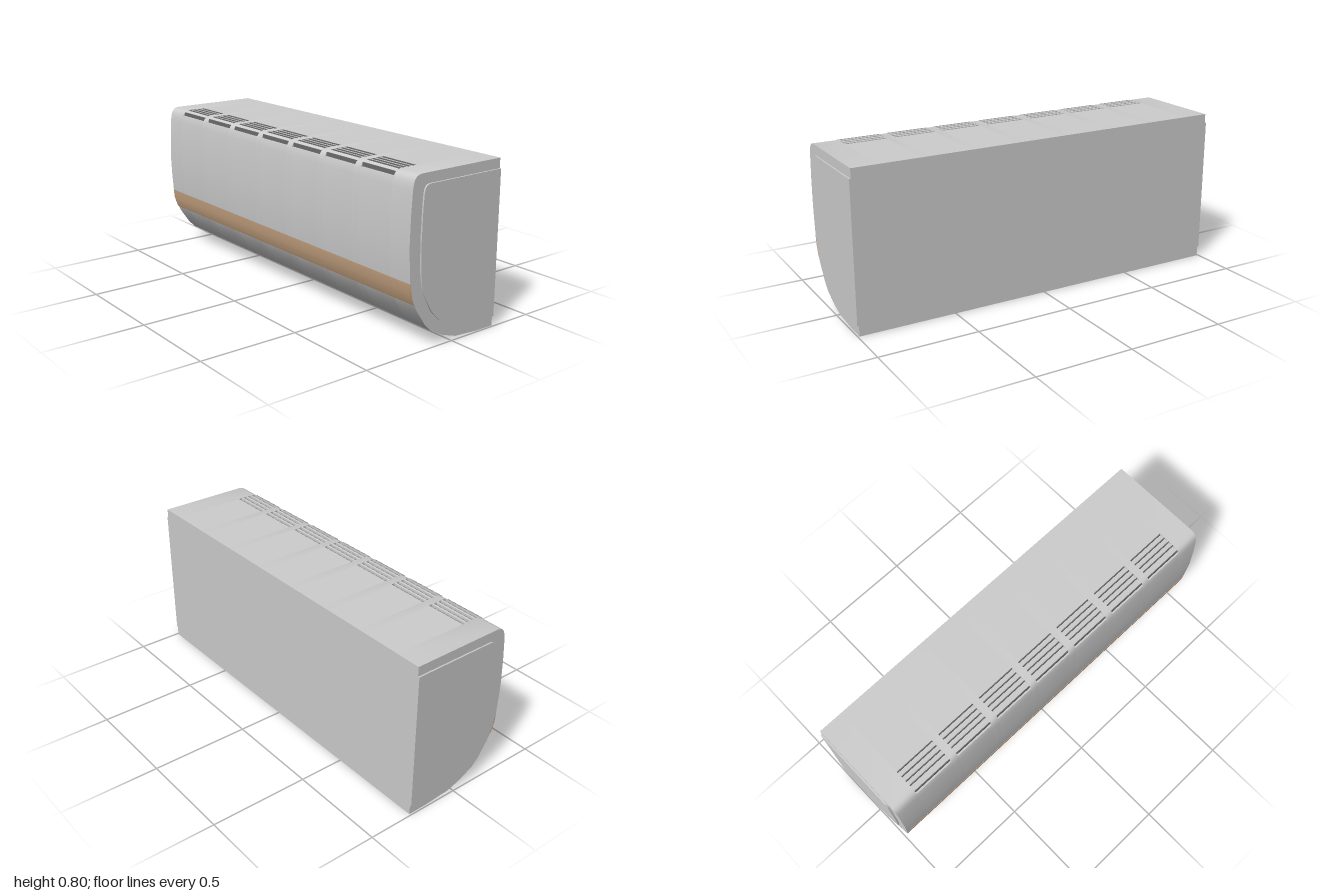
import * as THREE from 'three';
import { toCreasedNormals } from 'three/addons/utils/BufferGeometryUtils.js';

const grey = new THREE.MeshStandardMaterial({ color: 0xcccccc });
grey.name = 'casing grey';
const tan = new THREE.MeshStandardMaterial({ color: 0xc8a583 });
tan.name = 'stripe tan';
const dark = new THREE.MeshStandardMaterial({ color: 0x6c6c6c });
dark.name = 'vent dark grey';

// Side outlines as [z, y]
const lowerCurve = [
  [-0.27, 0], [-0.16, 0.002], [-0.03, 0.012], [0.05, 0.038], [0.125, 0.077], [0.16, 0.112],
  [0.21, 0.185], [0.233, 0.228], [0.249, 0.275], [0.256, 0.33], [0.262, 0.42], [0.265, 0.5],
  [0.262, 0.62], [0.255, 0.73],
];
const plainTop = [
  [0.251, 0.755], [0.246, 0.772], [0.239, 0.784], [0.229, 0.792], [0.21, 0.798], [-0.27, 0.798],
];
const panelOutline = [
  [-0.27, 0.05], [-0.16, 0.05], [-0.055, 0.058], [0.01, 0.08], [0.08, 0.118], [0.13, 0.168],
  [0.175, 0.25], [0.19, 0.29], [0.2, 0.36], [0.204, 0.5], [0.2, 0.64], [0.195, 0.71],
  [0.19, 0.732], [0.18, 0.745], [0.165, 0.75], [-0.27, 0.75],
];

// Top edge with the vent grooves cut into it
const grooves = [0.21, 0.183, 0.154, 0.125];
const grooveHalf = 0.009, grooveFloor = 0.786;
const ventTop = [[0.251, 0.755], [0.247, 0.769], [0.234, 0.769], [0.234, 0.789], [0.225, 0.794]];
for (const z of grooves) {
  ventTop.push([z + grooveHalf, 0.797], [z + grooveHalf, grooveFloor],
    [z - grooveHalf, grooveFloor], [z - grooveHalf, 0.798]);
}
ventTop.push([-0.27, 0.798]);

// Extrude a [z, y] outline along x
function extrudeAlongX(name, outline, x0, x1, material) {
  const shape = new THREE.Shape(outline.map(([z, y]) => new THREE.Vector2(-z, y)));
  const geometry = new THREE.ExtrudeGeometry(shape, { depth: x1 - x0, bevelEnabled: false });
  geometry.rotateY(Math.PI / 2);
  geometry.translate(x0, 0, 0);
  const mesh = new THREE.Mesh(toCreasedNormals(geometry, 0.45), material);
  mesh.name = name;
  return mesh;
}

export function createModel() {
  const model = new THREE.Group();
  model.name = 'wallUnit';
  const end = 0.992, ventWidth = 0.212, ventPitch = 0.253, ventStart = -0.865;

  // Casing: plain and grooved lengths alternate
  const casing = new THREE.Group();
  casing.name = 'casing';
  const vents = new THREE.Group();
  vents.name = 'vents';
  let x = -end;
  for (let i = 0; i < 7; i++) {
    const x0 = ventStart + i * ventPitch, x1 = x0 + ventWidth;
    casing.add(extrudeAlongX('casingPlain', [...lowerCurve, ...plainTop], x, x0, grey));
    casing.add(extrudeAlongX('casingVented', [...lowerCurve, ...ventTop], x0, x1, grey));
    // Dark rear walls of the grooves
    for (const z of grooves) {
      const wall = new THREE.Mesh(new THREE.BoxGeometry(ventWidth, 0.011, 0.004), dark);
      wall.name = 'ventSlot';
      wall.position.set((x0 + x1) / 2, grooveFloor + 0.0055, z - grooveHalf + 0.002);
      vents.add(wall);
    }
    const frontWall = new THREE.Mesh(new THREE.BoxGeometry(ventWidth, 0.019, 0.004), dark);
    frontWall.name = 'frontVentSlot';
    frontWall.position.set((x0 + x1) / 2, 0.7785, 0.236);
    vents.add(frontWall);
    x = x1;
  }
  casing.add(extrudeAlongX('casingPlain', [...lowerCurve, ...plainTop], x, end, grey));
  model.add(casing, vents);

  // Stripe following the front curve
  const front = [[0.229, 0.22], [0.233, 0.228], [0.249, 0.275], [0.255, 0.322]];
  const stripe = [...front.map(([z, y]) => [z + 0.002, y]),
    ...front.map(([z, y]) => [z - 0.004, y]).reverse()];
  model.add(extrudeAlongX('frontStripe', stripe, -end, end, tan));

  // Raised end panels
  model.add(extrudeAlongX('leftEndPanel', panelOutline, end - 0.005, 1, grey));
  model.add(extrudeAlongX('rightEndPanel', panelOutline, -1, -end + 0.005, grey));
  return model;
}
